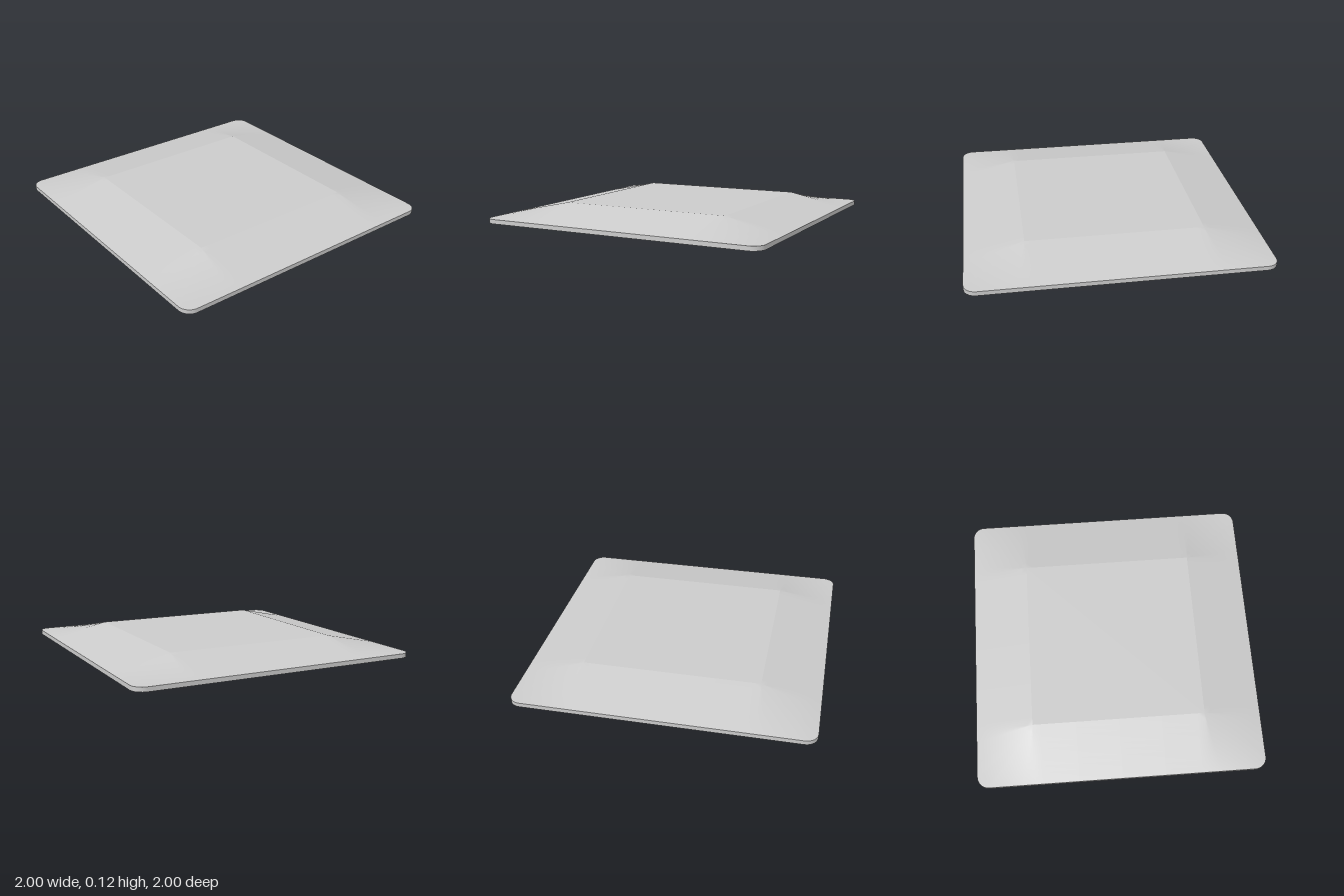
import * as THREE from 'three';
import { mergeVertices } from 'three/addons/utils/BufferGeometryUtils.js';

const INNER = 0.6;     // half width of the flat plateau
const RADIUS = 0.08;   // rounding of the outer corners
const RIM = 0.03;      // sheet thickness, height of the outer rim
const RISE = 0.085;    // plateau height above the rim
const RINGS = 10;

const clamp = (v) => THREE.MathUtils.clamp(v, -INNER, INNER);
const ramp = (v) => Math.min(1, Math.max(0, (1 - Math.abs(v)) / (1 - INNER)));
const height = (x, z) => RISE * ramp(x) * ramp(z);

// Rounded square in plan, running from +x towards +z
function outline() {
  const quarter = [];
  const side = [0, 0.3, 0.55, 0.6, 0.68, 0.76, 0.84];
  side.forEach((s) => quarter.push([1, s]));
  for (let i = 0; i <= 8; i++) {
    const a = (i / 8) * Math.PI / 2;
    quarter.push([1 - RADIUS + RADIUS * Math.cos(a), 1 - RADIUS + RADIUS * Math.sin(a)]);
  }
  side.slice(1).reverse().forEach((s) => quarter.push([s, 1]));
  const points = [];
  for (let k = 0; k < 4; k++) {
    for (const [x, z] of quarter) {
      points.push([[x, z], [-z, x], [-x, -z], [z, -x]][k]);
    }
  }
  return points;
}

// Closed skin through a list of rings with equal point counts
function skin(rings) {
  const n = rings[0].length;
  const index = [];
  for (let r = 0; r < rings.length - 1; r++) {
    for (let i = 0; i < n; i++) {
      const j = (i + 1) % n;
      const a = r * n + i, b = a + n, c = (r + 1) * n + j, d = r * n + j;
      index.push(a, b, c, a, c, d);
    }
  }
  let geometry = new THREE.BufferGeometry();
  geometry.setAttribute('position', new THREE.Float32BufferAttribute(rings.flat(2), 3));
  geometry.setIndex(index);
  geometry = mergeVertices(geometry, 1e-5);
  geometry.computeVertexNormals();
  return geometry;
}

export function createModel() {
  const group = new THREE.Group();
  group.name = 'raisedPanel';
  const material = new THREE.MeshStandardMaterial({ color: 0xcccccc });
  const add = (name, geometry) => {
    const mesh = new THREE.Mesh(geometry, material);
    mesh.name = name;
    group.add(mesh);
    return mesh;
  };

  const edge = outline();

  // Sloping border: rings from the plateau out to the rim, flattening at the corners
  const slope = (base) => Array.from({ length: RINGS + 1 }, (_, r) => edge.map(([x, z]) => {
    const px = THREE.MathUtils.lerp(clamp(x), x, r / RINGS);
    const pz = THREE.MathUtils.lerp(clamp(z), z, r / RINGS);
    return [px, base + height(px, pz), pz];
  }));
  const top = slope(RIM);
  const bottom = slope(0);
  add('topSlope', skin([...top].reverse()));
  add('undersideSlope', skin(bottom));

  // Thin outer rim
  add('rim', skin([bottom[RINGS], top[RINGS]]));

  // Flat plateau, above and below
  const plateau = () => new THREE.PlaneGeometry(2 * INNER, 2 * INNER);
  add('plateauTop', plateau().rotateX(-Math.PI / 2).translate(0, RIM + RISE, 0));
  add('plateauUnderside', plateau().rotateX(Math.PI / 2).translate(0, RISE, 0));

  return group;
}
